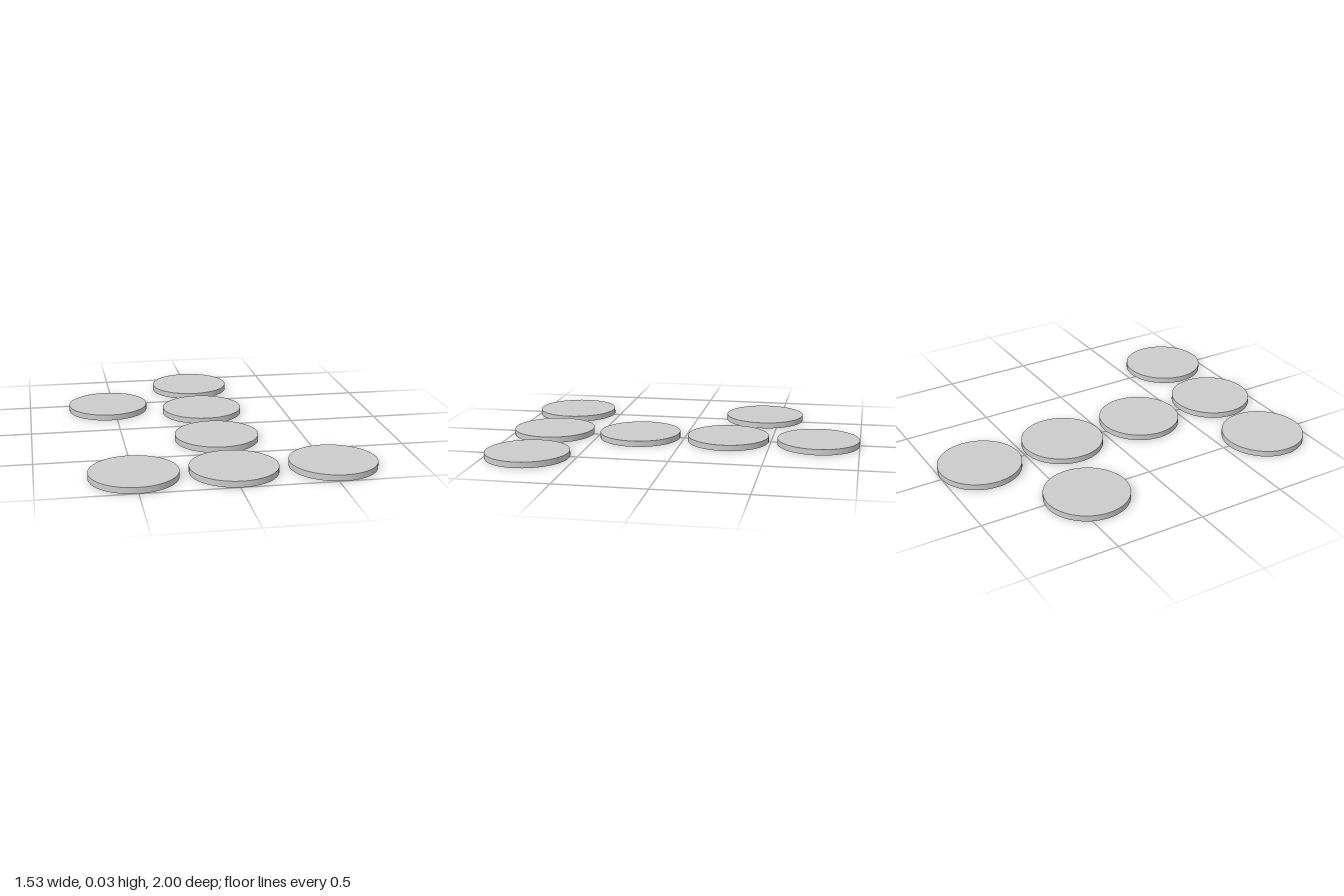
import * as THREE from 'three';

const RADIUS = 0.231;
const HEIGHT = 0.033;

export function createModel() {
  const model = new THREE.Group();
  model.name = 'discLayout';

  const material = new THREE.MeshStandardMaterial({ color: 0xcccccc });
  const discGeometry = new THREE.CylinderGeometry(RADIUS, RADIUS, HEIGHT, 64);

  const addDisc = (name, x, z) => {
    const disc = new THREE.Mesh(discGeometry, material);
    disc.name = name;
    disc.position.set(x, HEIGHT / 2, z);
    model.add(disc);
  };

  // Straight column of four discs, back to front
  for (let i = 0; i < 4; i++) {
    addDisc(`columnDisc${i + 1}`, 0.011, -0.769 + i * 0.5127);
  }

  // Discs either side of the front end of the column
  addDisc('frontRightDisc', -0.502, 0.769);
  addDisc('frontLeftDisc', 0.533, 0.769);

  // Single offset disc near the back
  addDisc('backRightDisc', -0.537, -0.41);

  return model;
}
